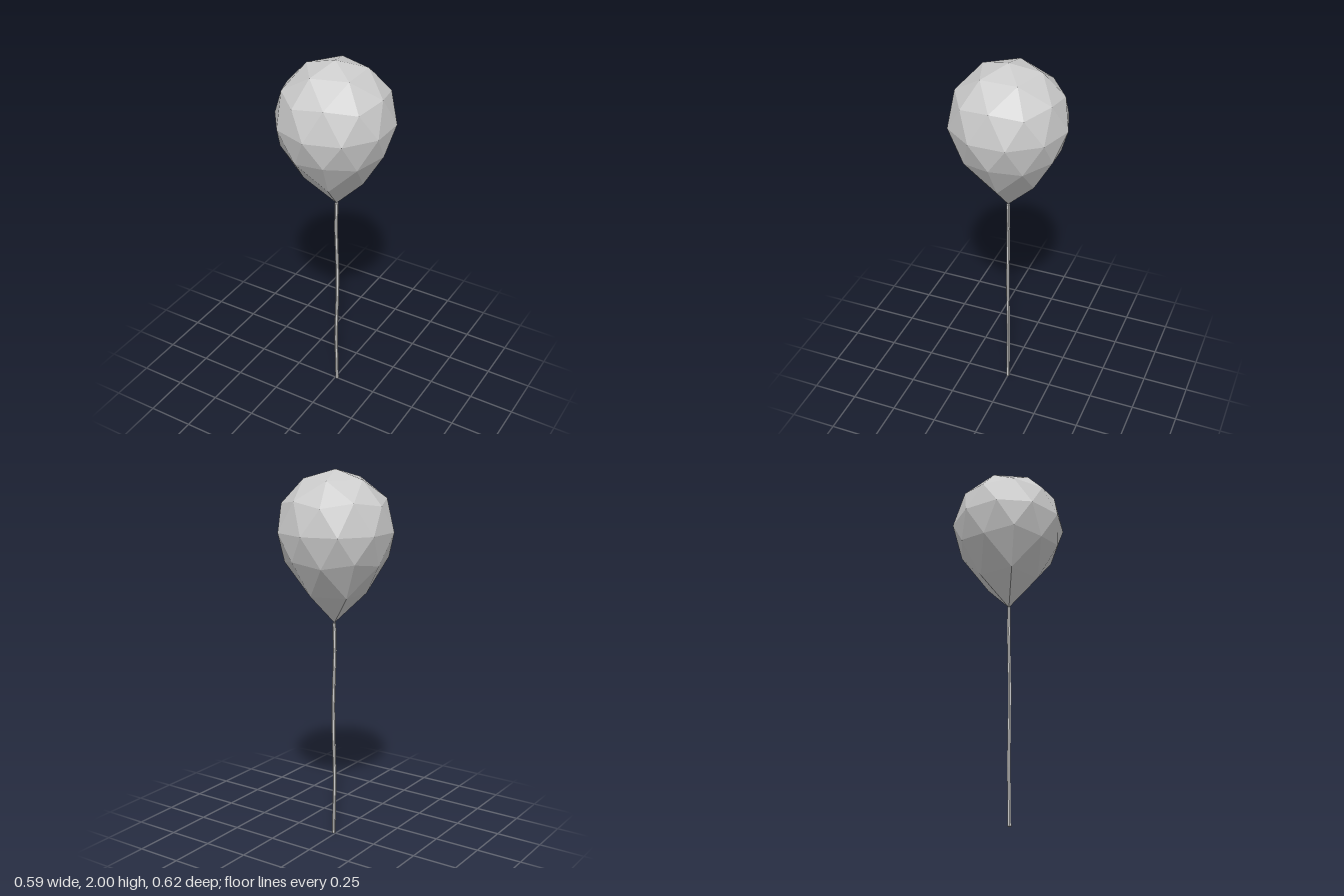
import * as THREE from 'three';

const material = new THREE.MeshStandardMaterial({ color: 0xcccccc, flatShading: true });

// Move every vertex of a geometry by a rule
function deform(geometry, rule) {
  const pos = geometry.attributes.position;
  const v = new THREE.Vector3();
  for (let i = 0; i < pos.count; i++) {
    rule(v.fromBufferAttribute(pos, i));
    pos.setXYZ(i, v.x, v.y, v.z);
  }
  geometry.computeVertexNormals();
  return geometry;
}

// Low-poly ball with a vertex at each pole, its underside drawn down to a point
function makeBalloon() {
  const radius = 0.31, tip = 0.49;
  const geometry = new THREE.IcosahedronGeometry(radius, 1);
  geometry.rotateZ(Math.atan(2 / (1 + Math.sqrt(5))));
  deform(geometry, (v) => {
    if (v.y < -0.95 * radius) v.set(0.007, -tip, 0);
    else if (v.y < -0.7 * radius) v.y = -0.33;
  });
  const mesh = new THREE.Mesh(geometry, material);
  mesh.name = 'balloon';
  mesh.position.y = 1.69;
  return mesh;
}

// Thin string that sways gently sideways
function makeString() {
  const height = 1.2;
  const sway = [0.012, 0.009, 0.005, 0.008, 0.013, 0.014, 0.009, 0.004, 0.008];
  const steps = sway.length - 1;
  const geometry = new THREE.CylinderGeometry(0.01, 0.01, height, 6, steps);
  geometry.translate(0, height / 2, 0);
  deform(geometry, (v) => { v.x += sway[Math.round((v.y / height) * steps)]; });
  const mesh = new THREE.Mesh(geometry, material);
  mesh.name = 'string';
  return mesh;
}

export function createModel() {
  const model = new THREE.Group();
  model.name = 'balloonOnString';
  model.add(makeBalloon(), makeString());
  return model;
}
